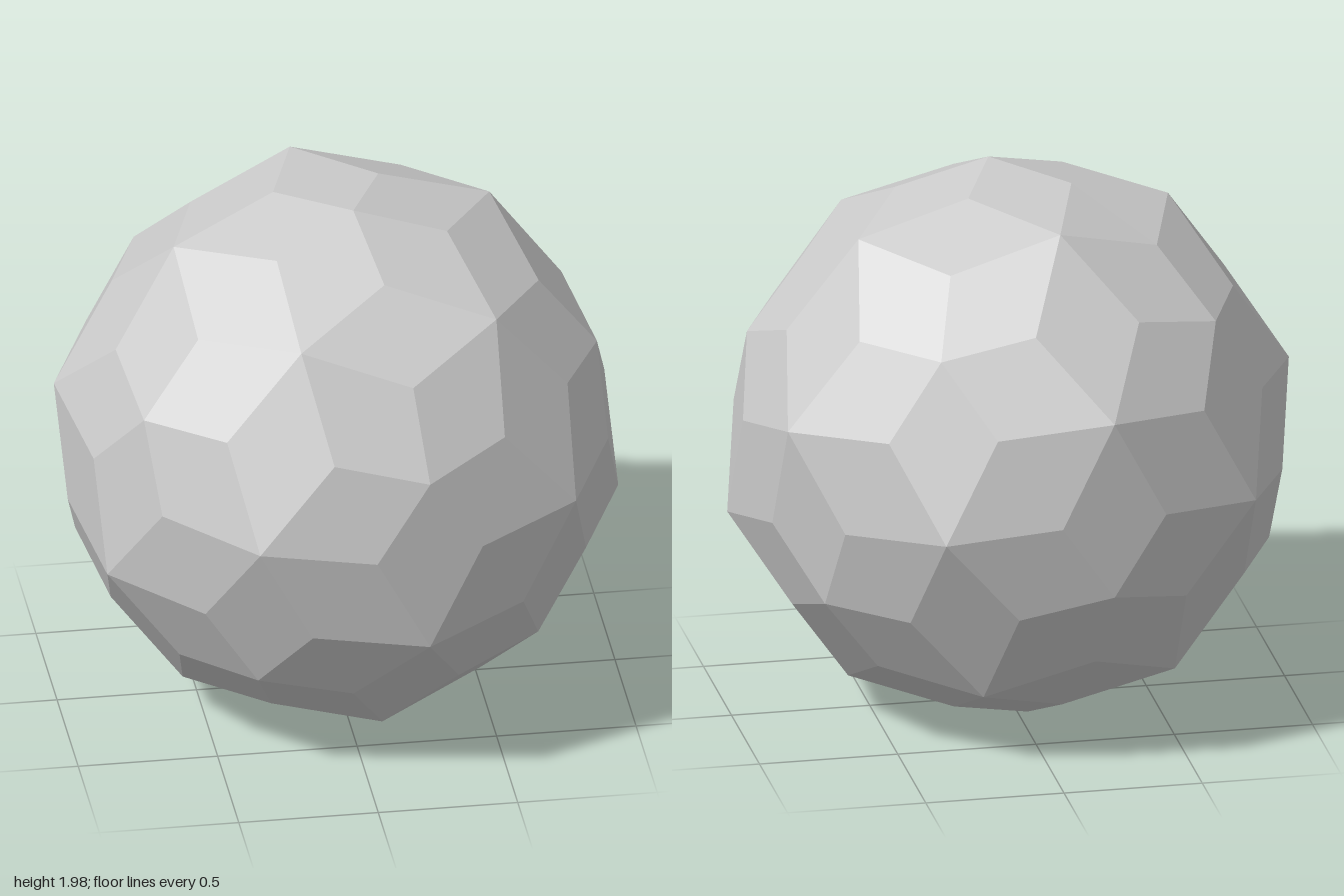
import * as THREE from 'three';

const RIM = 0.985;      // radius of the panel corners
const PENT_TIP = 1.006; // radius of the five-sided panel tips
const HEX_TIP = 1.033;  // radius of the six-sided panel tips
const CENTRE_Y = 0.99;

// The 12 icosahedron corners, turned so that one panel corner points along +z
function icosahedronCorners() {
  const t = (1 + Math.sqrt(5)) / 2;
  const tilt = Math.atan(1 / (3 * t));
  const spin = THREE.MathUtils.degToRad(55.68);
  const z = new THREE.Vector3(0, 0, 1);
  const u = new THREE.Vector3(Math.cos(spin), Math.sin(spin), 0);
  const w = z.clone().cross(u);
  const e = z.clone().multiplyScalar(Math.cos(tilt)).addScaledVector(u, -Math.sin(tilt));
  const p = z.clone().multiplyScalar(Math.sin(tilt)).addScaledVector(u, Math.cos(tilt));
  const turn = new THREE.Matrix4().makeBasis(e, p, w);
  const corners = [];
  for (const a of [-1, 1]) for (const b of [-t, t]) {
    for (const c of [[b, a, 0], [0, b, a], [a, 0, b]]) {
      corners.push(new THREE.Vector3(...c).applyMatrix4(turn));
    }
  }
  return corners;
}

// Shallow pyramid over the panel corners nearest to an axis
function pyramid(axis, tipRadius, sides, points) {
  const n = axis.clone().normalize();
  const rim = [...points].sort((a, b) => b.dot(n) - a.dot(n)).slice(0, sides);
  const right = rim[0].clone().addScaledVector(n, -rim[0].dot(n)).normalize();
  const up = n.clone().cross(right);
  const angle = (v) => Math.atan2(v.dot(up), v.dot(right));
  rim.sort((a, b) => angle(a) - angle(b));
  const tip = n.clone().multiplyScalar(tipRadius);
  return rim.flatMap((v, i) => [tip, v, rim[(i + 1) % sides]]);
}

function panelMesh(name, triangles, material) {
  const geometry = new THREE.BufferGeometry().setFromPoints(triangles);
  geometry.computeVertexNormals();
  const mesh = new THREE.Mesh(geometry, material);
  mesh.name = name;
  mesh.position.y = CENTRE_Y;
  return mesh;
}

export function createModel() {
  const group = new THREE.Group();
  group.name = 'facetedBall';
  const material = new THREE.MeshStandardMaterial({ color: 0xcccccc, flatShading: true });
  const corners = icosahedronCorners();
  const adjacent = (a, b) => Math.abs(a.distanceTo(b) - 2) < 0.01;

  // Panel corners: a third of the way along every icosahedron edge
  const points = [];
  for (const a of corners) for (const b of corners) {
    if (adjacent(a, b)) points.push(a.clone().lerp(b, 1 / 3).setLength(RIM));
  }

  // Six-sided panels sit over the icosahedron faces
  const faceAxes = [];
  corners.forEach((a, i) => corners.forEach((b, j) => corners.forEach((c, k) => {
    if (i < j && j < k && adjacent(a, b) && adjacent(b, c) && adjacent(a, c)) {
      faceAxes.push(a.clone().add(b).add(c));
    }
  })));

  group.add(
    panelMesh('pentagonPanels', corners.flatMap((v) => pyramid(v, PENT_TIP, 5, points)), material),
    panelMesh('hexagonPanels', faceAxes.flatMap((v) => pyramid(v, HEX_TIP, 6, points)), material),
  );
  return group;
}
